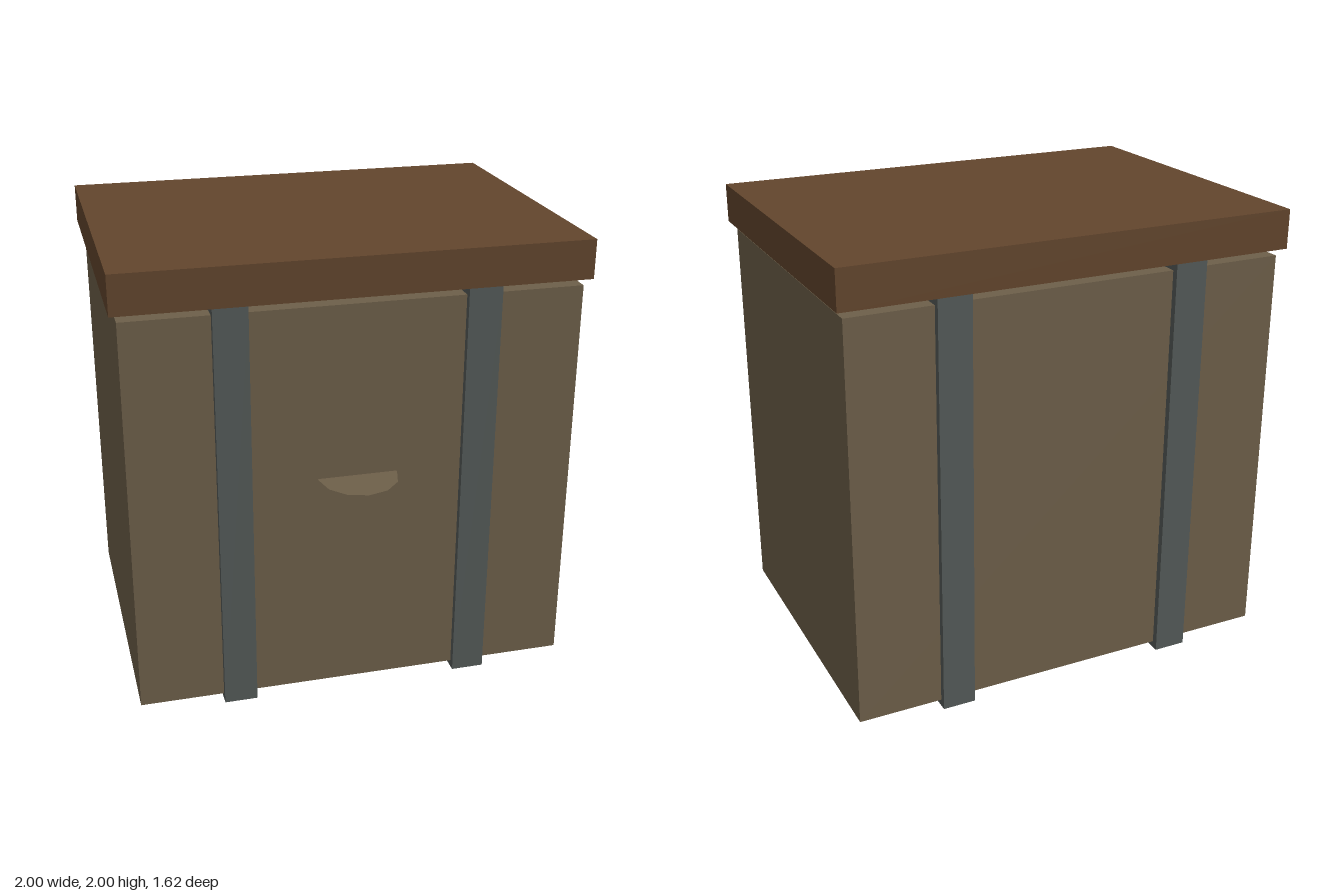
import * as THREE from 'three';

export function createModel() {
  const model = new THREE.Group();
  model.name = 'crate';

  const material = (name, color) => {
    const m = new THREE.MeshStandardMaterial({ color });
    m.name = name;
    return m;
  };
  const tan = material('tan board', 0x6e604a);
  const steel = material('grey steel', 0x555b59);
  const brown = material('brown wood', 0x63462d);
  tan.side = THREE.DoubleSide;

  // Box given by its lower and upper corners
  const box = (name, mat, [x0, y0, z0], [x1, y1, z1]) => {
    const mesh = new THREE.Mesh(new THREE.BoxGeometry(x1 - x0, y1 - y0, z1 - z0), mat);
    mesh.position.set((x0 + x1) / 2, (y0 + y1) / 2, (z0 + z1) / 2);
    mesh.name = name;
    model.add(mesh);
  };

  box('body', tan, [-0.97, 0.03, -0.785], [0.97, 1.797, 0.625]);
  box('lid', brown, [-1, 1.83, -0.815], [1, 2, 0.653]);

  // Straps wrap right around the body: front, back, bottom and top runs
  for (const [side, x0, x1] of [['left', 0.457, 0.602], ['right', -0.602, -0.457]]) {
    box(`${side}StrapFront`, steel, [x0, 0, 0.625], [x1, 1.83, 0.653]);
    box(`${side}StrapBack`, steel, [x0, 0, -0.813], [x1, 1.83, -0.785]);
    box(`${side}StrapBottom`, steel, [x0, 0, -0.785], [x1, 0.03, 0.625]);
    box(`${side}StrapTop`, steel, [x0, 1.797, -0.785], [x1, 1.83, 0.625]);
  }

  // Thin half-round handle on the front, dipping slightly outwards
  const handle = new THREE.Mesh(new THREE.CircleGeometry(0.172, 6, Math.PI, Math.PI), tan);
  handle.rotation.x = -Math.PI / 2 + 0.04;
  handle.position.set(0, 1.035, 0.638);
  handle.name = 'handle';
  // Tab joining the handle to the body
  const tab = new THREE.Mesh(new THREE.PlaneGeometry(0.344, 0.013), tan);
  tab.rotation.x = -Math.PI / 2;
  tab.position.set(0, 1.035, 0.6315);
  tab.name = 'handleTab';
  model.add(handle, tab);

  return model;
}
